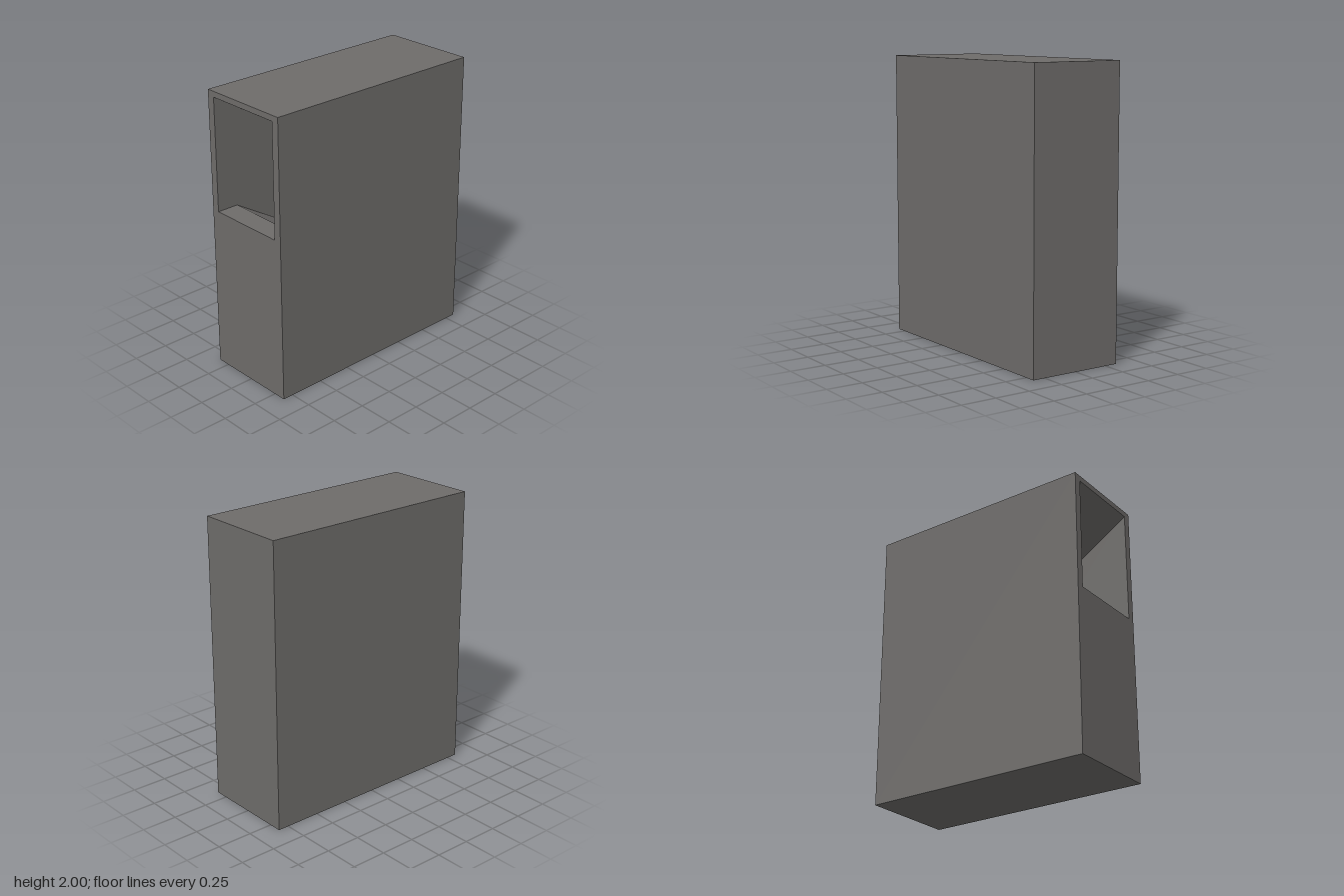
import * as THREE from 'three';

const WIDTH = 0.68, HEIGHT = 2, DEPTH = 1.655;
const WALL = 0.055; // side wall thickness

export function createModel() {
  const model = new THREE.Group();
  model.name = 'chuteCabinet';
  const grey = new THREE.MeshStandardMaterial({ color: 0x6e6c6a });
  grey.name = 'warm grey';

  const f = DEPTH / 2; // front plane
  const inner = WIDTH - 2 * WALL;

  // Body between the side walls: (z, y) profile with a front opening,
  // a flat sill and a chute sloping down towards the back
  const profile = new THREE.Shape([
    [-f, 0], [f, 0], [f, 1.16], [f - 0.155, 1.16],
    [-0.77, 0.28], [-0.77, 0.98],
    [f, 1.96], [f, HEIGHT], [-f, HEIGHT],
  ].map(([z, y]) => new THREE.Vector2(z, y)));
  const bodyGeometry = new THREE.ExtrudeGeometry(profile, { depth: inner, bevelEnabled: false });
  bodyGeometry.translate(0, 0, -inner / 2);
  bodyGeometry.rotateY(-Math.PI / 2);
  const body = new THREE.Mesh(bodyGeometry, grey);
  body.name = 'bodyWithChute';
  model.add(body);

  // Side walls
  for (const [side, name] of [[1, 'leftWall'], [-1, 'rightWall']]) {
    const wall = new THREE.Mesh(new THREE.BoxGeometry(WALL, HEIGHT, DEPTH), grey);
    wall.position.set(side * (WIDTH - WALL) / 2, HEIGHT / 2, 0);
    wall.name = name;
    model.add(wall);
  }
  return model;
}
